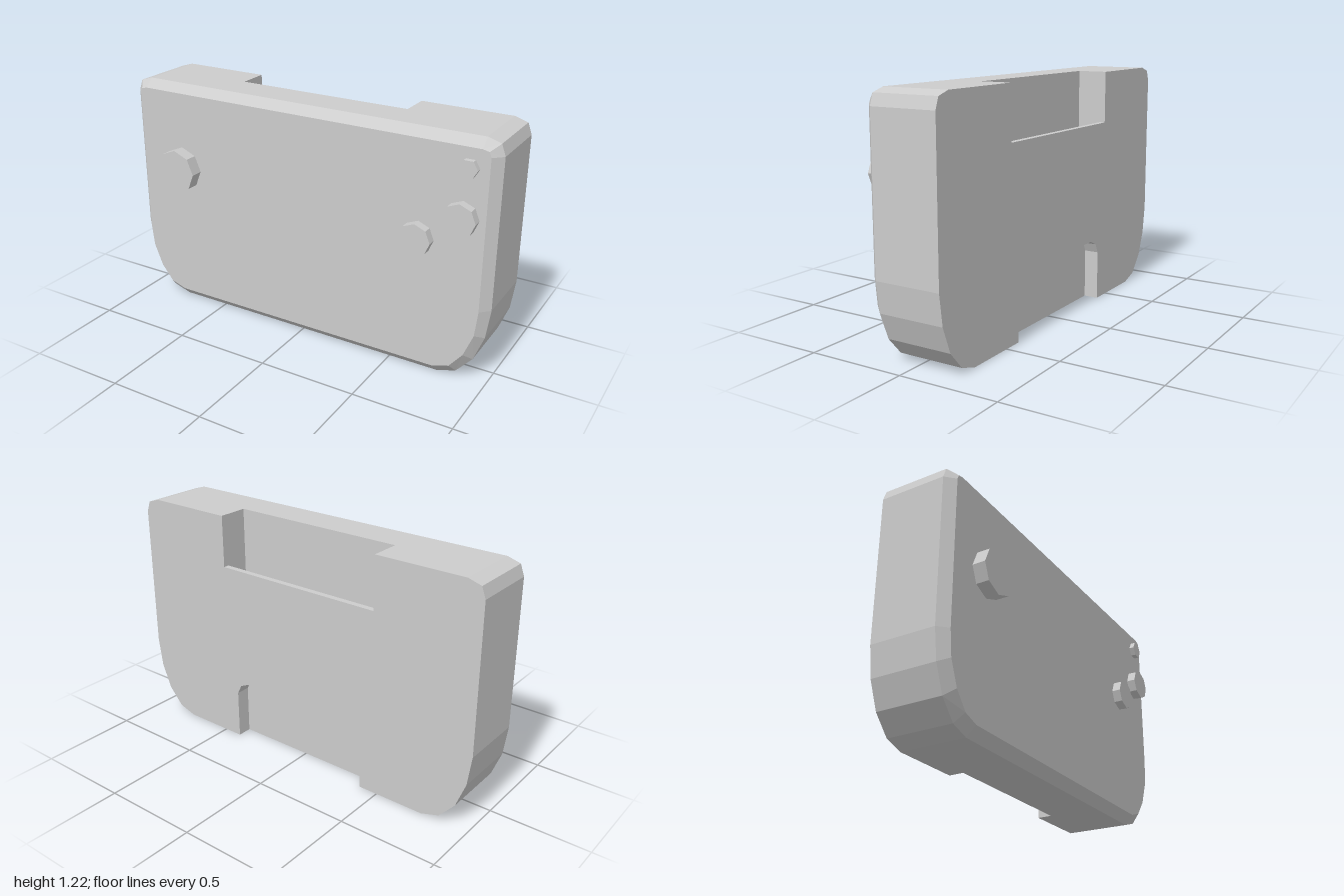
import * as THREE from 'three';

const plastic = new THREE.MeshStandardMaterial({ color: 0xcccccc });
plastic.name = 'grey plastic';

// Depth levels, back to front
const BACK = -0.22, LIP = -0.19, RECESS = -0.145, SLOT = -0.065, SIDE = 0.115, FRONT = 0.16;
const TOP = 1.215, SLOT_X = 0.457, LIP_Y = 0.95, SLOT_Y = 0.42;

const mirror = (pts) => pts.map(([x, y]) => [-x, y]).reverse();

// Flat-shaded wall between two matching paths; it faces the right-hand side of the path
function wall(pathA, zA, zB, pathB = pathA) {
  const pos = [];
  for (let i = 0; i < pathA.length - 1; i++) {
    const a = [...pathA[i], zA], b = [...pathA[i + 1], zA];
    const c = [...pathB[i + 1], zB], d = [...pathB[i], zB];
    pos.push(...a, ...b, ...c, ...a, ...c, ...d);
  }
  const g = new THREE.BufferGeometry();
  g.setAttribute('position', new THREE.Float32BufferAttribute(pos, 3));
  g.computeVertexNormals();
  return g;
}

// Flat panel at depth z, facing forward or backward
function panel(pts, z, backward = false) {
  const shape = new THREE.Shape(pts.map(([x, y]) => new THREE.Vector2(x, y)));
  const g = new THREE.ShapeGeometry(shape).translate(0, 0, z);
  if (backward) {
    g.setIndex([...g.index.array].reverse());
    g.computeVertexNormals();
  }
  return g;
}

const rect = (w, y0, y1) => [[-w, y0], [w, y0], [w, y1], [-w, y1]];

export function createModel() {
  const model = new THREE.Group();
  model.name = 'handheld console';
  const add = (name, geometry, parent = model) => {
    const mesh = new THREE.Mesh(geometry, plastic);
    mesh.name = name;
    parent.add(mesh);
    return mesh;
  };

  // Half outlines, bottom to top
  const outer = [[0.755, 0], [0.85, 0.03], [0.93, 0.12], [0.98, 0.25], [1, 0.4],
    [1, 1.14], [0.98, 1.195], [0.915, TOP]];
  const inner = [[0.75, 0.048], [0.83, 0.075], [0.895, 0.155], [0.942, 0.272], [0.955, 0.4],
    [0.955, 1.14], [0.945, 1.165], [0.915, 1.172]];
  const outerLoop = [...outer, ...mirror(outer)];
  const innerLoop = [...inner, ...mirror(inner)];

  // Arched recess in the lower back and slot opening in the upper back
  const arch = [[0.32, 0.33], [0.375, 0.305], [0.4, 0.255], [0.4, 0]];
  const archPath = [...mirror(arch), ...arch].map(([x, y]) => [x, y]);
  archPath.sort((p, q) => p[0] - q[0] || (p[0] < 0 ? p[1] - q[1] : q[1] - p[1]));
  const slotPath = (y) => [[SLOT_X, TOP], [SLOT_X, y], [-SLOT_X, y], [-SLOT_X, TOP]];
  const half = [[0.4, 0], ...outer, [SLOT_X, TOP]];

  // Body shell
  const body = new THREE.Group();
  body.name = 'body';
  model.add(body);
  add('left side', wall(half, BACK, SIDE), body);
  add('right side', wall(mirror(half), BACK, SIDE), body);
  add('top edge', wall([[SLOT_X, TOP], [-SLOT_X, TOP]], SLOT, SIDE), body);
  add('bottom edge', wall([[-0.4, 0], [0.4, 0]], RECESS, SIDE), body);
  add('front bevel', wall([...outerLoop, outerLoop[0]], SIDE, FRONT, [...innerLoop, innerLoop[0]]), body);
  add('front face', panel(innerLoop, FRONT), body);
  add('back face', panel([...outer, ...slotPath(LIP_Y), ...mirror(outer), ...archPath], BACK, true), body);

  // Cartridge slot: a shallow lip in front of a deeper pocket
  const slot = new THREE.Group();
  slot.name = 'cartridge slot';
  model.add(slot);
  add('slot lip', wall(slotPath(LIP_Y), BACK, LIP), slot);
  add('slot pocket', wall(slotPath(SLOT_Y), LIP, SLOT), slot);
  add('slot wall', panel(rect(SLOT_X, SLOT_Y, TOP), SLOT, true), slot);
  add('lip inside', panel(rect(SLOT_X, SLOT_Y, LIP_Y), LIP), slot);

  // Battery recess
  add('battery recess rim', wall(archPath, BACK, RECESS));
  add('battery recess panel', panel(archPath, RECESS, true));

  // Buttons: name, x, y, radius, front depth, sides
  const buttons = [
    ['direction button', -0.705, 0.772, 0.113, 0.225, 8],
    ['upper action button', 0.845, 0.843, 0.08, 0.205, 8],
    ['lower action button', 0.638, 0.701, 0.08, 0.205, 8],
    ['small button', 0.865, 1.08, 0.045, 0.186, 6],
  ];
  for (const [name, x, y, r, z, sides] of buttons) {
    const depth = z - FRONT + 0.01;
    const g = new THREE.CylinderGeometry(r, r, depth, sides, 1, false, Math.PI / 2)
      .rotateX(Math.PI / 2).toNonIndexed();
    g.computeVertexNormals();
    add(name, g).position.set(x, y, z - depth / 2);
  }
  return model;
}
